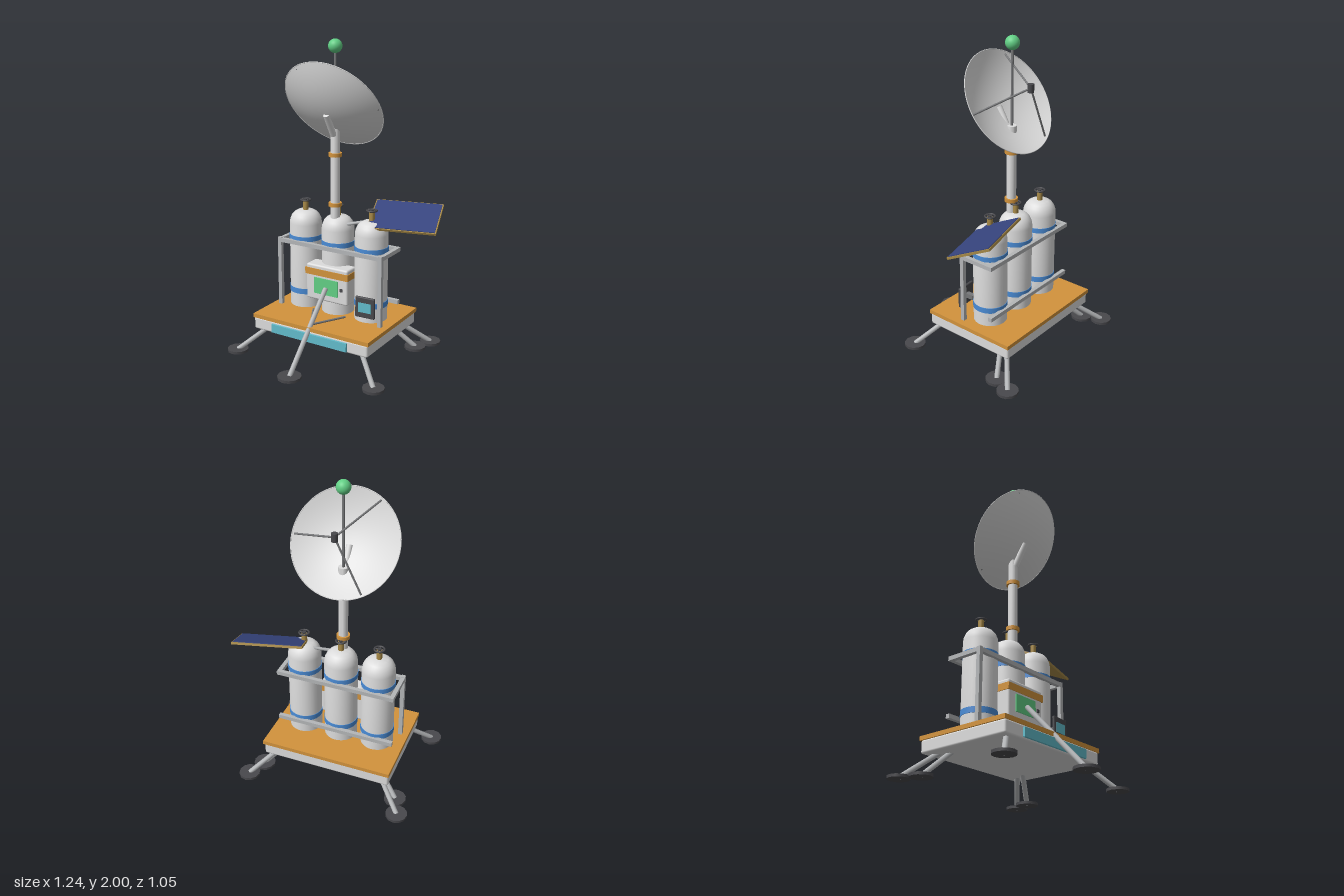
import * as THREE from 'three';
import { toCreasedNormals } from 'three/addons/utils/BufferGeometryUtils.js';
import { RoundedBoxGeometry } from 'three/addons/geometries/RoundedBoxGeometry.js';

const paint = (name, color, side = THREE.FrontSide) => {
  const m = new THREE.MeshStandardMaterial({ color, side });
  m.name = name;
  return m;
};

export function createModel() {
  const white = paint('off white', 0xdcdcdc, THREE.DoubleSide);
  const steel = paint('steel', 0xb4b6b8);
  const dark = paint('charcoal', 0x48484c);
  const rodGrey = paint('rod grey', 0x77787a);
  const orange = paint('orange', 0xd2933c);
  const blue = paint('band blue', 0x4a8cd6);
  const cyan = paint('cyan', 0x62bccb);
  const green = paint('green', 0x62cf85);
  const gold = paint('gold', 0xa88a48);
  const navy = paint('solar navy', 0x36447e);

  const root = new THREE.Group();
  root.name = 'fieldStation';
  const cx = -0.045; // centre line of the station
  const V = (x, y, z) => new THREE.Vector3(x, y, z);

  const add = (name, geo, mat, x = 0, y = 0, z = 0, parent = root) => {
    const mesh = new THREE.Mesh(geo, mat);
    mesh.name = name;
    mesh.position.set(x, y, z);
    parent.add(mesh);
    return mesh;
  };
  // box given by its lower and upper limits
  const box = (name, mat, x0, x1, y0, y1, z0, z1, r = 0) => {
    const s = [x1 - x0, y1 - y0, z1 - z0];
    const geo = r ? new RoundedBoxGeometry(...s, 2, r) : new THREE.BoxGeometry(...s);
    return add(name, geo, mat, (x0 + x1) / 2, (y0 + y1) / 2, (z0 + z1) / 2);
  };
  const cyl = (name, mat, r, y0, y1, x, z, sides = 24) =>
    add(name, toCreasedNormals(new THREE.CylinderGeometry(r, r, y1 - y0, sides), 0.6), mat, x, (y0 + y1) / 2, z);
  const rod = (name, mat, a, b, r, parent = root, sides = 10) => {
    const m = add(name, new THREE.CylinderGeometry(r, r, a.distanceTo(b), sides), mat, 0, 0, 0, parent);
    m.position.copy(a).add(b).multiplyScalar(0.5);
    m.quaternion.setFromUnitVectors(V(0, 1, 0), b.clone().sub(a).normalize());
    return m;
  };

  // Platform
  box('platformBody', white, -0.465, 0.375, 0.155, 0.235, -0.39, 0.24, 0.012);
  box('platformDeck', orange, -0.47, 0.382, 0.232, 0.258, -0.397, 0.243);
  box('frontLightStrip', cyan, -0.32, 0.235, 0.165, 0.22, 0.235, 0.254);

  // Legs with round feet
  const leg = (name, foot, top, footRadius) => {
    rod(name, steel, foot, top, 0.016, root, 8);
    cyl(name + 'Foot', dark, footRadius, 0.005, 0.022, foot.x, foot.z, 12);
  };
  for (const s of [-1, 1]) {
    leg('frontLeg', V(cx + s * 0.505, 0.015, 0.31), V(cx + s * 0.33, 0.175, 0.17), 0.068);
    leg('backLeg', V(cx + s * 0.505, 0.015, -0.46), V(cx + s * 0.33, 0.175, -0.31), 0.068);
    leg('innerBackLeg', V(cx + s * 0.455, 0.015, -0.335), V(cx + s * 0.3, 0.175, -0.245), 0.07);
    rod('propTie', rodGrey, V(cx, 0.268, 0.215), V(cx + s * 0.12, 0.268, 0), 0.007);
  }
  leg('frontProp', V(cx, 0.015, 0.45), V(cx, 0.45, 0.04), 0.075);

  // Three gas tanks with bands, necks and hand wheels
  const tankProfile = [[0, 0.255], [0.105, 0.255], [0.105, 0.815], [0.101, 0.84], [0.09, 0.865],
    [0.075, 0.883], [0.055, 0.895], [0, 0.9]].map(p => new THREE.Vector2(...p));
  for (const x of [-0.292, cx, 0.2]) {
    const z = -0.11;
    add('tank', toCreasedNormals(new THREE.LatheGeometry(tankProfile, 36), 0.7), white, x, 0, z);
    cyl('lowerBand', blue, 0.108, 0.35, 0.386, x, z, 36);
    cyl('upperBand', blue, 0.108, 0.708, 0.74, x, z, 36);
    cyl('tankNeck', gold, 0.018, 0.89, 0.96, x, z, 16);
    cyl('wheelHub', dark, 0.013, 0.955, 0.97, x, z, 12);
    add('handWheel', new THREE.TorusGeometry(0.031, 0.006, 8, 24).rotateX(Math.PI / 2), dark, x, 0.964, z);
    for (let i = 0; i < 2; i++) {
      const a = i * Math.PI / 2;
      const dx = 0.03 * Math.cos(a), dz = 0.03 * Math.sin(a);
      rod('wheelSpoke', dark, V(x - dx, 0.964, z - dz), V(x + dx, 0.964, z + dz), 0.004);
    }
  }

  // Tank frame
  const w = 0.026;
  for (const x of [-0.43, 0.34 - w]) {
    box('framePost', steel, x, x + w, 0.255, 0.72, -0.012, 0.014);
    box('frameSideRail', steel, x, x + w, 0.69, 0.716, -0.235, 0.014);
  }
  box('frameFrontRail', steel, -0.43, 0.34, 0.69, 0.716, -0.012, 0.014);
  box('frameBackRail', steel, -0.43, 0.34, 0.69, 0.716, -0.235, -0.209);
  box('frameLowerRail', steel, -0.43, 0.34, 0.338, 0.364, -0.235, -0.209);

  // Control cabinet
  box('cabinet', white, -0.198, 0.108, 0.355, 0.59, -0.08, 0.03, 0.012);
  box('cabinetBand', orange, -0.203, 0.113, 0.522, 0.565, -0.085, 0.035);
  box('cabinetScreen', green, -0.135, 0.04, 0.402, 0.508, 0.029, 0.037);
  box('cabinetButton', dark, 0.055, 0.075, 0.445, 0.465, 0.029, 0.037);

  // Small display hung on the frame
  const display = new THREE.Group();
  display.name = 'display';
  display.position.set(0.25, 0.388, 0.05);
  display.rotation.y = 0.06;
  root.add(display);
  add('displayCase', new RoundedBoxGeometry(0.132, 0.134, 0.018, 2, 0.006), dark, 0, 0, 0, display);
  add('displayScreen', new THREE.BoxGeometry(0.088, 0.062, 0.006), cyan, 0, 0, 0.009, display);
  add('displayBracket', new THREE.BoxGeometry(0.03, 0.03, 0.06), rodGrey, 0, 0, -0.035, display);

  // Mast with collars, antenna rod and beacon
  const mz = -0.075;
  cyl('mast', white, 0.03, 0.88, 1.46, cx, mz);
  cyl('lowerCollar', orange, 0.042, 0.966, 0.99, cx, mz);
  cyl('upperCollar', orange, 0.042, 1.284, 1.308, cx, mz);
  cyl('antennaRod', rodGrey, 0.008, 1.45, 1.93, cx, mz, 10);
  add('beacon', new THREE.SphereGeometry(0.043, 28, 18), green, cx, 1.957, mz);
  rod('dishArm', white, V(cx, 1.42, -0.055), V(cx, 1.555, 0.026), 0.02, root, 16);

  // Dish: a shallow bowl whose axis is local y, tipped back
  const dish = new THREE.Group();
  dish.name = 'dish';
  dish.position.set(cx, 1.607, -0.055);
  dish.rotation.x = -0.965;
  root.add(dish);
  const R = 0.33, depth = 0.095;
  const bowl = [];
  for (let i = 0; i <= 12; i++) bowl.push(new THREE.Vector2(R * i / 12, depth * ((i / 12) ** 2 - 1)));
  add('dishBowl', new THREE.LatheGeometry(bowl, 56), white, 0, 0, 0, dish);
  add('dishRim', new THREE.TorusGeometry(R, 0.003, 6, 56).rotateX(Math.PI / 2), white, 0, 0, 0, dish);
  const feed = V(0, 0.19, 0);
  for (let i = 0; i < 3; i++) {
    const a = i * Math.PI * 2 / 3;
    rod('feedStrut', rodGrey, V(0.315 * Math.cos(a), -0.008, 0.315 * Math.sin(a)), feed, 0.006, dish);
  }
  cyl('feedHorn', dark, 0.02, 1.69, 1.74, cx, -0.211, 14);

  // Solar panel on its arm
  const solar = new THREE.Group();
  solar.name = 'solarPanel';
  solar.position.set(0.377, 0.924, -0.218);
  solar.rotation.set(0.41, 0.26, 0, 'YXZ');
  root.add(solar);
  add('panelTray', new THREE.BoxGeometry(0.43, 0.014, 0.287), gold, 0, 0, 0, solar);
  add('panelCells', new THREE.BoxGeometry(0.416, 0.005, 0.273), navy, 0, 0.008, 0, solar);
  rod('panelArm', steel, V(0.03, 0.855, -0.08), V(0.3, 0.912, -0.2), 0.01);

  return root;
}
